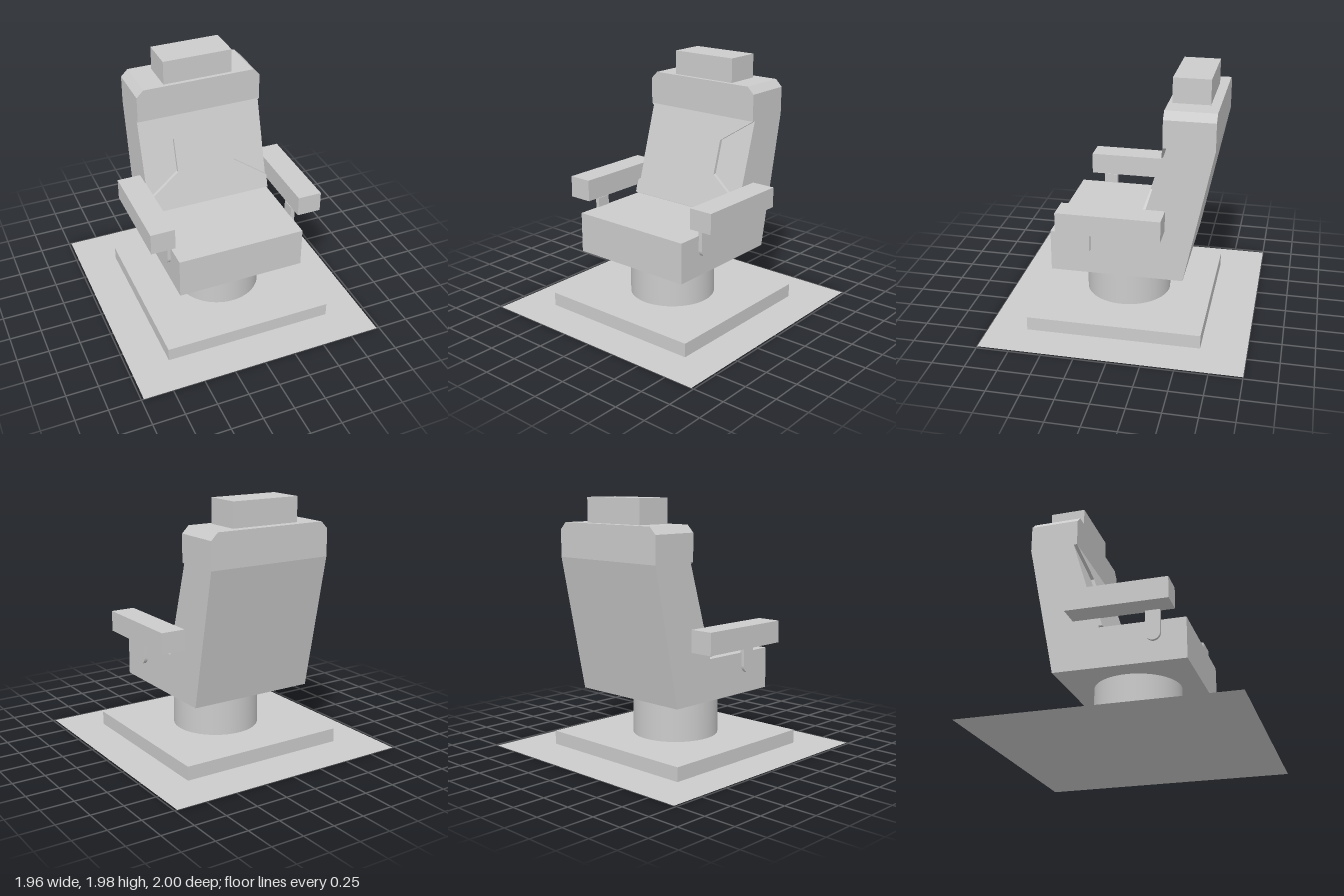
import * as THREE from 'three';
import { toCreasedNormals } from 'three/addons/utils/BufferGeometryUtils.js';

const grey = new THREE.MeshStandardMaterial({ color: 0xcccccc });
const greyThin = new THREE.MeshStandardMaterial({ color: 0xcccccc, side: THREE.DoubleSide });

const polygon = (points) => new THREE.Shape(points.map(([a, b]) => new THREE.Vector2(a, b)));

const extrude = (shape, depth) =>
  new THREE.ExtrudeGeometry(shape, { depth, bevelEnabled: false, curveSegments: 24 });

// Extrudes a (z, y) side profile across x, from x0 to x1.
function extrudeAcross(shape, x0, x1) {
  return extrude(shape, x1 - x0).rotateY(-Math.PI / 2).translate(x1, 0, 0);
}

function boxBetween([x0, y0, z0], [x1, y1, z1]) {
  return new THREE.BoxGeometry(x1 - x0, y1 - y0, z1 - z0)
    .translate((x0 + x1) / 2, (y0 + y1) / 2, (z0 + z1) / 2);
}

export function createModel() {
  const chair = new THREE.Group();
  chair.name = 'swivelChair';

  const add = (name, geometry, material = grey) => {
    const mesh = new THREE.Mesh(geometry, material);
    mesh.name = name;
    chair.add(mesh);
  };

  // Ground sheet, base slab and column
  add('floorSheet', new THREE.PlaneGeometry(1.96, 2).rotateX(-Math.PI / 2), greyThin);
  add('baseSlab', boxBetween([-0.675, 0.002, -0.65], [0.68, 0.11, 0.7]));
  add('column', new THREE.CylinderGeometry(0.336, 0.336, 0.355, 64).translate(0, 0.2875, 0.03));

  // Seat and backrest as one side profile; its front is set back behind the panel
  const w = 0.508, inset = 0.027;
  const frontBottom = -0.1, frontTop = -0.315, panelBottom = 0.8, panelTop = 1.52;
  add('seatAndBack', extrudeAcross(polygon([
    [0.535, 0.465], [0.535, 0.785], [frontBottom - inset, 0.785],
    [frontBottom - inset, panelBottom], [frontTop - inset, panelTop],
    [frontTop, panelTop], [frontTop, 1.73], [-0.695, 1.73],
    [-0.695, panelTop], [-0.48, 0.465],
  ]), -w, w));

  // Chamfered top of the backrest
  add('backTop', extrude(polygon([
    [-w, 1.73], [w, 1.73], [w - 0.055, 1.785], [-w + 0.055, 1.785],
  ]), 0.38).translate(0, 0, -0.695));

  // Waisted front panel, sheared to follow the slope; leaves a pocket on each side
  const half = [[w, panelBottom], [w, 0.9], [0.24, 1.08], [0.24, 1.34], [w, panelTop]];
  const mirrored = half.map(([x, y]) => [-x, y]).reverse();
  const panel = extrude(polygon([...half, ...mirrored]), inset);
  const slope = (frontTop - frontBottom) / (panelTop - panelBottom);
  const pos = panel.attributes.position;
  for (let i = 0; i < pos.count; i++) {
    pos.setZ(i, pos.getZ(i) + frontBottom - inset + slope * (pos.getY(i) - panelBottom));
  }
  panel.computeVertexNormals();
  add('backPanel', panel);

  add('headrest', boxBetween([-0.28, 1.785, -0.625], [0.28, 1.975, -0.345]));

  // Armrests, each on a bracket with a rounded lower end
  const arms = [
    { side: 'left', arm: [0.51, 0.7], bracket: [0.505, 0.538], under: 0.87, low: 0.615, dz: 0 },
    { side: 'right', arm: [-0.695, -0.505], bracket: [-0.533, -0.5], under: 0.86, low: 0.625, dz: 0.01 },
  ];
  for (const { side, arm, bracket, under, low, dz } of arms) {
    add(`${side}Armrest`, boxBetween([arm[0], under, -0.34 + dz], [arm[1], 1.03, 0.442 + dz]));
    const r = 0.055, z = 0.28 + dz;
    const shape = new THREE.Shape();
    shape.moveTo(z - r, under);
    shape.lineTo(z - r, low + r);
    shape.absarc(z, low + r, r, Math.PI, 2 * Math.PI, false);
    shape.lineTo(z + r, under);
    add(`${side}ArmBracket`, toCreasedNormals(extrudeAcross(shape, ...bracket), 0.6));
  }

  return chair;
}
